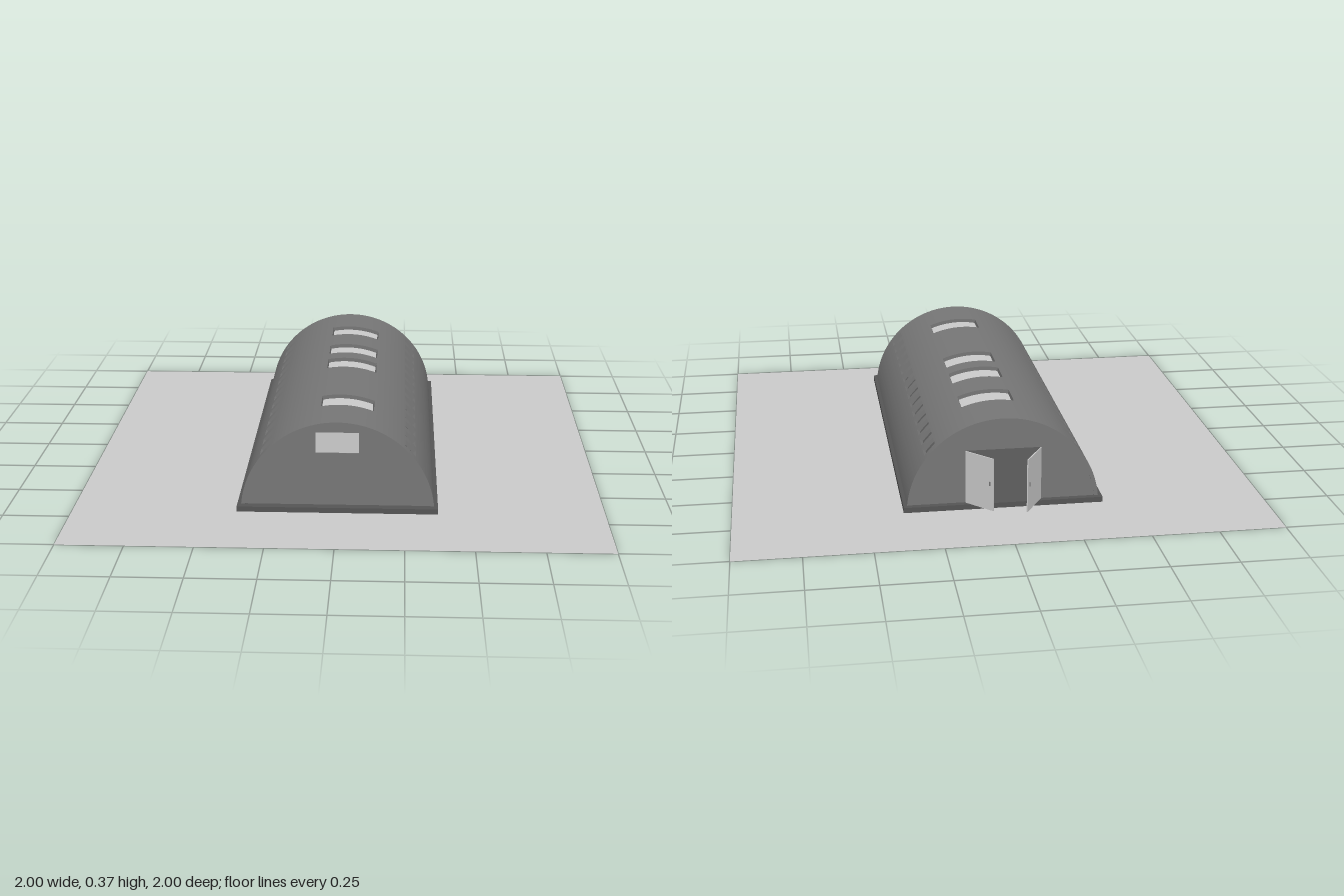
import * as THREE from 'three';
import { toCreasedNormals } from 'three/addons/utils/BufferGeometryUtils.js';

const R = 0.36, RI = 0.345, CY = 0.015;      // vault radii and centre height
const FRONT = 0.72, BACK = -0.73;            // ends of the hall
const BASE = 0.05;                           // top of the slab

const light = new THREE.MeshStandardMaterial({ color: 0xcccccc, side: THREE.DoubleSide });
const dark = new THREE.MeshStandardMaterial({ color: 0x777777 });
const slabGrey = new THREE.MeshStandardMaterial({ color: 0x555555 });

function add(parent, name, geometry, material, x = 0, y = 0, z = 0) {
  const mesh = new THREE.Mesh(geometry, material);
  mesh.name = name;
  mesh.position.set(x, y, z);
  parent.add(mesh);
  return mesh;
}

// Curved slab: a ring sector (angles from +x) running from z0 to z1
function sector(a0, a1, z0, z1, r0 = RI, r1 = R) {
  const s = new THREE.Shape();
  s.absarc(0, CY, r1, a0, a1, false);
  s.absarc(0, CY, r0, a1, a0, true);
  const segments = Math.max(4, Math.ceil((a1 - a0) * 20));
  const g = new THREE.ExtrudeGeometry(s, { depth: z1 - z0, bevelEnabled: false, curveSegments: segments });
  return toCreasedNormals(g.translate(0, 0, z0), 0.5);
}

function rectPath(x0, y0, x1, y1) {
  return new THREE.Path([[x0, y0], [x0, y1], [x1, y1], [x1, y0]].map(p => new THREE.Vector2(...p)));
}

// End wall under the vault, optionally with a doorway notch
function endWall(doorHalf, doorTop, holes) {
  const r = R - 0.004, a = Math.asin((BASE - CY) / r);
  const s = new THREE.Shape();
  s.absarc(0, CY, r, a, Math.PI - a, false);
  if (doorHalf) {
    s.lineTo(-doorHalf, BASE);
    s.lineTo(-doorHalf, doorTop);
    s.lineTo(doorHalf, doorTop);
    s.lineTo(doorHalf, BASE);
  }
  s.holes.push(...holes);
  return toCreasedNormals(new THREE.ExtrudeGeometry(s, { depth: 0.012, bevelEnabled: false, curveSegments: 48 }), 0.5);
}

export function createModel() {
  const model = new THREE.Group();
  model.name = 'vaultedHall';

  // Ground and foundation
  add(model, 'ground', new THREE.PlaneGeometry(2, 2).rotateX(-Math.PI / 2), light);
  add(model, 'foundation', new THREE.BoxGeometry(0.745, 0.02, 1.5), slabGrey, 0, 0.04, 0);

  const angleAt = y => Math.asin((y - CY) / R);
  const aBase = angleAt(BASE), aSill = angleAt(0.23), aEave = angleAt(0.275);
  const aRight = Math.acos(0.13 / R), aLeft = Math.acos(-0.07 / R);

  // Lower side walls and the rows of posts between the vents
  const posts = 15, postWidth = 0.038;
  const pitch = (FRONT - BACK - postWidth) / (posts - 1);
  for (const left of [true, false]) {
    const span = (a0, a1) => left ? [a0, a1] : [Math.PI - a1, Math.PI - a0];
    add(model, 'sideWall', sector(...span(aBase, aSill), BACK, FRONT), dark);
    for (let i = 0; i < posts; i++) {
      const z = BACK + i * pitch;
      add(model, 'ventPost', sector(...span(aSill, aEave), z, z + postWidth), dark);
    }
  }

  // Roof flanks, ridge pieces between the skylights, and the panes
  add(model, 'roofFlankLeft', sector(aEave, aRight, BACK, FRONT), dark);
  add(model, 'roofFlankRight', sector(aLeft, Math.PI - aEave, BACK, FRONT), dark);
  const skylights = [[-0.53, -0.41], [-0.26, -0.14], [-0.065, 0.055], [0.405, 0.525]];
  let start = BACK;
  for (const [z0, z1] of [...skylights, [FRONT, FRONT]]) {
    add(model, 'roofRidge', sector(aRight, aLeft, start, z0), dark);
    if (z1 > z0) add(model, 'skylightPane', sector(aRight, aLeft, z0, z1, RI - 0.004, RI), light);
    start = z1;
  }

  // End walls
  add(model, 'frontWall', endWall(0, 0, [rectPath(-0.08, 0.255, 0.08, 0.335)]), dark, 0, 0, FRONT - 0.014);
  add(model, 'frontWindowPane', new THREE.BoxGeometry(0.16, 0.08, 0.004), light, 0, 0.295, FRONT - 0.008);
  add(model, 'backWall', endWall(0.14, 0.255, []), dark, 0, 0, BACK + 0.002);

  // Two door leaves standing ajar behind the doorway
  const leaves = [[-0.14, 0.135, 1.024], [0.14, 0.127, 2.356]];
  for (const [x, width, turn] of leaves) {
    const door = new THREE.Group();
    door.name = 'door';
    door.position.set(x, 0, BACK);
    door.rotation.y = turn;
    add(door, 'doorLeaf', new THREE.BoxGeometry(width, 0.205, 0.004), light, width / 2, 0.1525, 0);
    add(door, 'doorHandle', new THREE.BoxGeometry(0.004, 0.016, 0.01), dark, width - 0.015, 0.155, 0);
    model.add(door);
  }
  return model;
}
